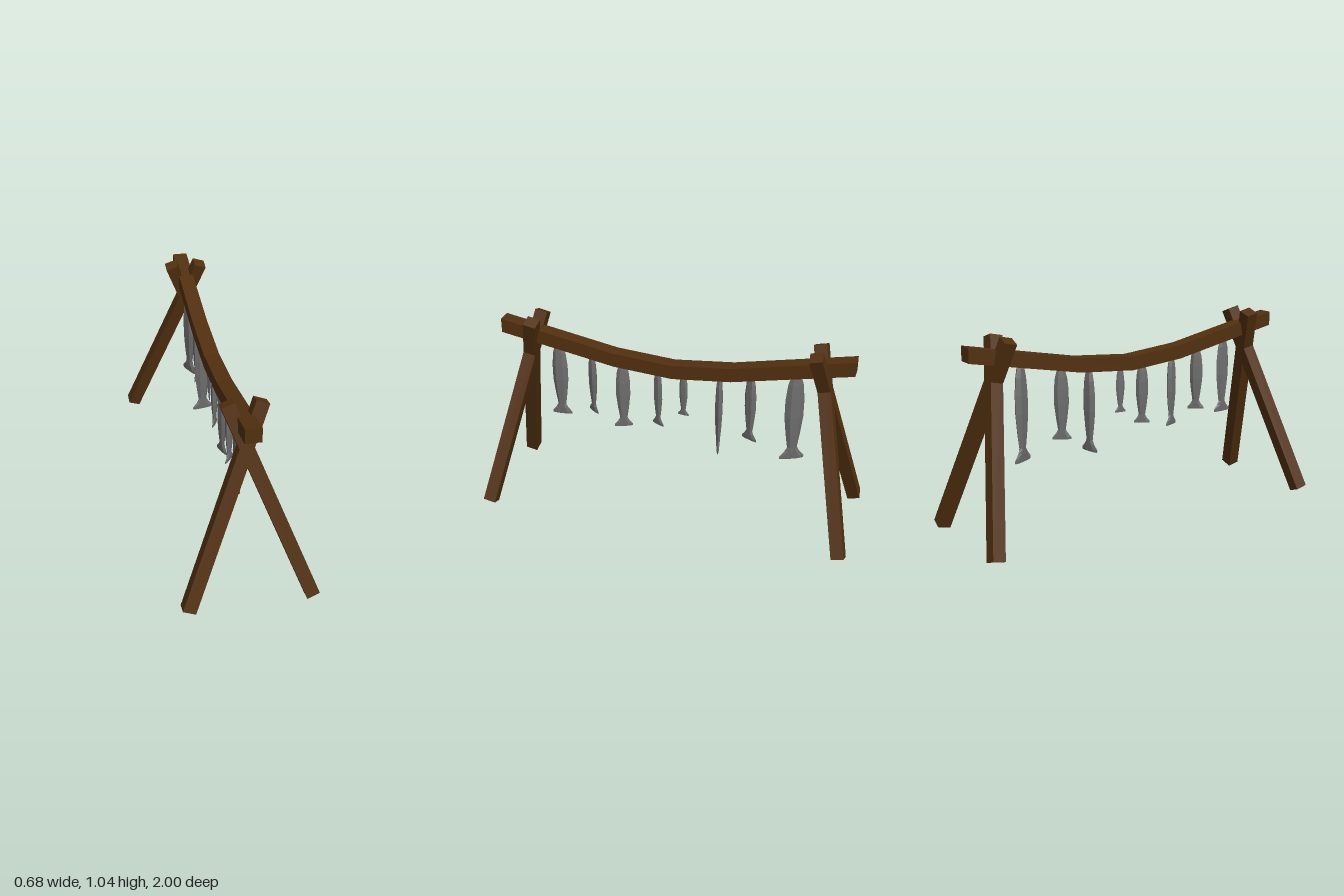
import * as THREE from 'three';

const wood = new THREE.MeshStandardMaterial({ color: 0x52300f });
wood.name = 'dark wood';
const fishSkin = new THREE.MeshStandardMaterial({ color: 0x6e6e6e });
fishSkin.name = 'grey fish';

function addMesh(parent, name, geometry, material) {
  const mesh = new THREE.Mesh(geometry, material);
  mesh.name = name;
  parent.add(mesh);
  return mesh;
}

// Sagging beam: side outline (z, top, bottom) extruded across x
function beamGeometry() {
  const half = [[0.94, 1.006, 0.93], [0.315, 0.884, 0.809], [0, 0.857, 0.782]];
  const line = [...half, ...half.slice(0, 2).reverse().map(([z, t, b]) => [-z, t, b])];
  const outline = [
    ...line.map(([z, t]) => new THREE.Vector2(-z, t)),
    ...line.slice().reverse().map(([z, , b]) => new THREE.Vector2(-z, b)),
  ];
  const geo = new THREE.ExtrudeGeometry(new THREE.Shape(outline), { depth: 0.08, bevelEnabled: false });
  geo.translate(0, 0, -0.04);
  geo.rotateY(Math.PI / 2);
  return geo;
}

// Fish of unit length hanging down from y = 0: six-sided rings with
// [distance down, half width, half thickness], faceted
const RINGS = [
  [0, 0.045, 0.025], [0.13, 0.082, 0.036], [0.3, 0.1, 0.043], [0.5, 0.1, 0.043],
  [0.7, 0.077, 0.034], [0.86, 0.053, 0.022], [0.91, 0.08, 0.02],
  [0.97, 0.132, 0.015], [1, 0.128, 0.012],
];
function fishGeometry() {
  const n = RINGS.length - 1;
  const geo = new THREE.CylinderGeometry(1, 1, 1, 6, n).toNonIndexed();
  const p = geo.attributes.position;
  for (let i = 0; i < p.count; i++) {
    const [down, width, thick] = RINGS[Math.round((0.5 - p.getY(i)) * n)];
    p.setXYZ(i, p.getX(i) * thick / 0.866, -down, p.getZ(i) * width);
  }
  geo.computeVertexNormals();
  return geo;
}

export function createModel() {
  const model = new THREE.Group();
  model.name = 'fishDryingRack';

  addMesh(model, 'beam', beamGeometry(), wood);

  // Crossed pair of legs at each end, the pair tilted inward
  const legGeo = new THREE.BoxGeometry(0.067, 1.1, 0.067);
  for (const end of [1, -1]) {
    const pair = new THREE.Group();
    pair.name = end > 0 ? 'frontLegs' : 'backLegs';
    pair.position.set(0, 0.524, end * 0.857);
    pair.rotation.x = -end * 0.213;
    for (const side of [1, -1]) {
      const leg = addMesh(pair, side > 0 ? 'leftLeg' : 'rightLeg', legGeo, wood);
      leg.position.x = side * 0.113;
      leg.rotation.z = side * 0.36;
    }
    model.add(pair);
  }

  // Hanging fish: z, top, bottom, turn in degrees
  const fishGeo = fishGeometry();
  const catches = [
    [0.635, 0.885, 0.46, 3], [0.45, 0.845, 0.5, -38], [0.28, 0.815, 0.435, 21],
    [0.085, 0.8, 0.475, -30], [-0.055, 0.795, 0.555, -8], [-0.248, 0.81, 0.372, -79],
    [-0.415, 0.84, 0.463, -28], [-0.645, 0.885, 0.385, 25],
  ];
  catches.forEach(([z, top, bottom, turn], i) => {
    const fish = addMesh(model, `fish${i + 1}`, fishGeo, fishSkin);
    fish.position.set(0, top, z);
    fish.rotation.y = THREE.MathUtils.degToRad(turn);
    fish.scale.setScalar(top - bottom);
  });

  return model;
}
